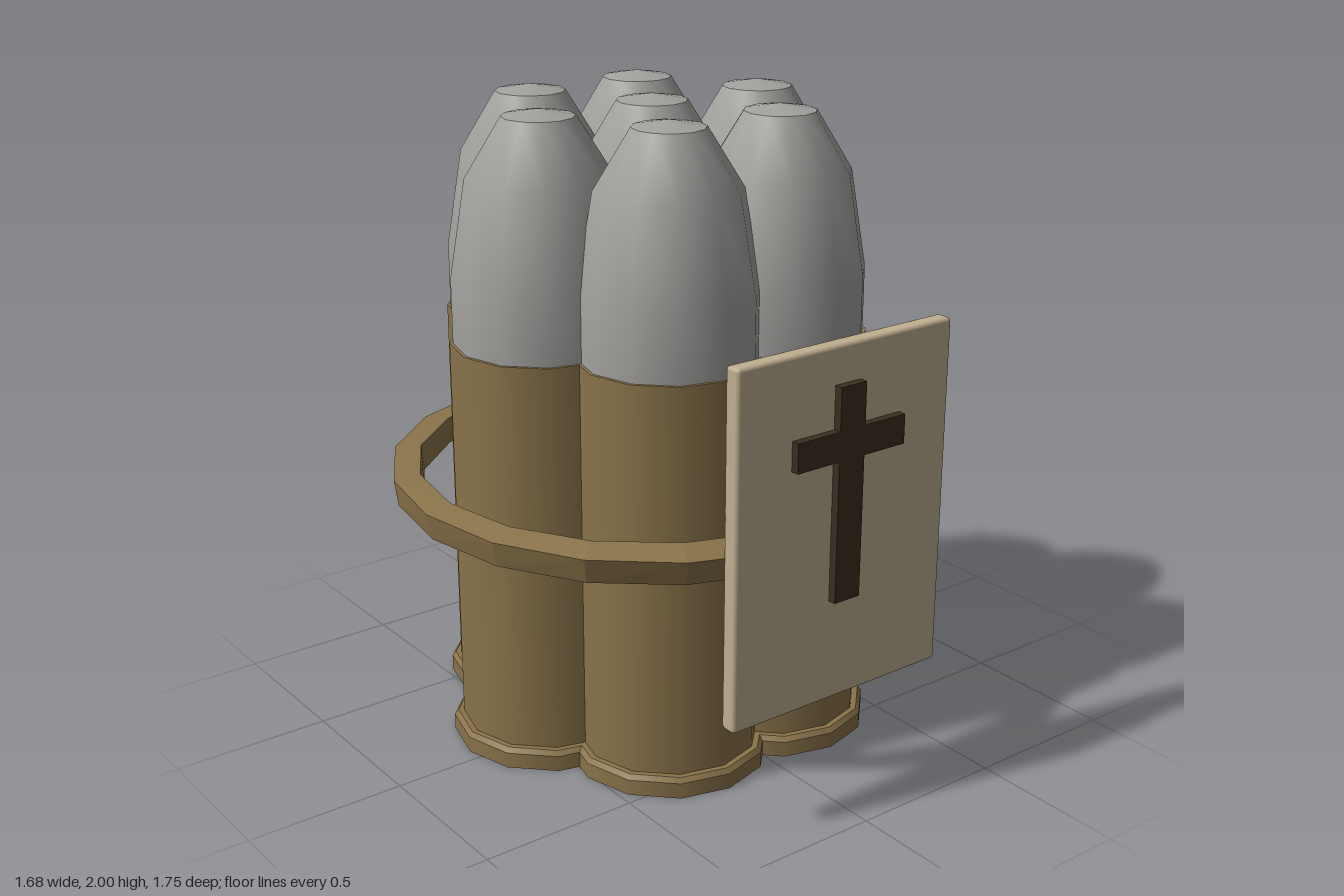
import * as THREE from 'three';
import { RoundedBoxGeometry } from 'three/addons/geometries/RoundedBoxGeometry.js';

const CENTRE_Z = -0.05;

function lathe(profile) {
  return new THREE.LatheGeometry(profile.map(([r, y]) => new THREE.Vector2(r, y)), 12);
}

// Square-section ring whose section leans a little more towards the front
function ringGeometry(radius, y, half, sides) {
  const corner = (i, j) => {
    const a = (i / sides) * Math.PI * 2;
    const lean = THREE.MathUtils.degToRad(11 + 9 * Math.sin(a));
    const b = Math.PI / 4 + (j * Math.PI) / 2 - lean * -1 * -1;
    const r = radius + half * Math.cos(b);
    return [r * Math.cos(a), y + half * Math.sin(b), r * Math.sin(a)];
  };
  const pos = [];
  for (let i = 0; i < sides; i++) {
    for (let j = 0; j < 4; j++) {
      const a = corner(i, j), b = corner(i + 1, j), c = corner(i + 1, j + 1), d = corner(i, j + 1);
      pos.push(...a, ...d, ...b, ...b, ...d, ...c);
    }
  }
  const g = new THREE.BufferGeometry();
  g.setAttribute('position', new THREE.Float32BufferAttribute(pos, 3));
  g.computeVertexNormals();
  return g;
}

export function createModel() {
  const model = new THREE.Group();
  const material = (name, color) => {
    const m = new THREE.MeshStandardMaterial({ color });
    m.name = name;
    return m;
  };
  const brass = material('brass', 0x8a734a);
  const lead = material('lead grey', 0xa2a19e);
  const parchment = material('parchment', 0xc0b090);
  const dark = material('dark brown', 0x3a2e20);

  const add = (parent, name, geometry, mat, x = 0, y = 0, z = 0) => {
    const mesh = new THREE.Mesh(geometry, mat);
    mesh.name = name;
    mesh.position.set(x, y, z);
    parent.add(mesh);
    return mesh;
  };

  // Seven packed rounds: one in the middle, six around it
  const casing = new THREE.CylinderGeometry(0.28, 0.28, 1.3, 12);
  const rim = new THREE.CylinderGeometry(0.31, 0.31, 0.05, 12);
  const rimBevel = new THREE.CylinderGeometry(0.298, 0.31, 0.015, 12);
  const bullet = lathe([[0.27, 1.3], [0.27, 1.5], [0.22, 1.8], [0.11, 1.98]]);
  const tip = lathe([[0.11, 1.98], [0, 2]]);
  const spots = [[0, 0], [-0.41, 0], [0.41, 0]];
  for (const sx of [-1, 1]) for (const sz of [-1, 1]) spots.push([sx * 0.205, sz * 0.355]);
  for (const [x, z] of spots) {
    const round = new THREE.Group();
    round.name = 'round';
    round.position.set(x, 0, z + CENTRE_Z);
    add(round, 'casing', casing, brass, 0, 0.65);
    add(round, 'rim', rim, brass, 0, 0.025);
    add(round, 'rimBevel', rimBevel, brass, 0, 0.0575);
    add(round, 'bullet', bullet, lead);
    add(round, 'bulletTip', tip, lead);
    model.add(round);
  }

  // Loose band around the bundle
  add(model, 'band', ringGeometry(0.788, 0.805, 0.06, 18), brass, 0, 0, CENTRE_Z);

  // Front plaque with a raised cross
  add(model, 'plaque', new RoundedBoxGeometry(0.79, 1.09, 0.055, 1, 0.012), parchment, 0, 0.9, 0.83);
  const outline = [[-0.047, 0.675], [0.047, 0.675], [0.047, 1.11], [0.2, 1.11], [0.2, 1.2], [0.047, 1.2], [0.047, 1.33]];
  const mirrored = outline.slice(2).reverse().map(([x, y]) => [-x, y]);
  const shape = new THREE.Shape([...outline, ...mirrored].map(([x, y]) => new THREE.Vector2(x, y)));
  add(model, 'cross', new THREE.ExtrudeGeometry(shape, { depth: 0.035, bevelEnabled: false }), dark, 0, 0, 0.848);

  return model;
}
